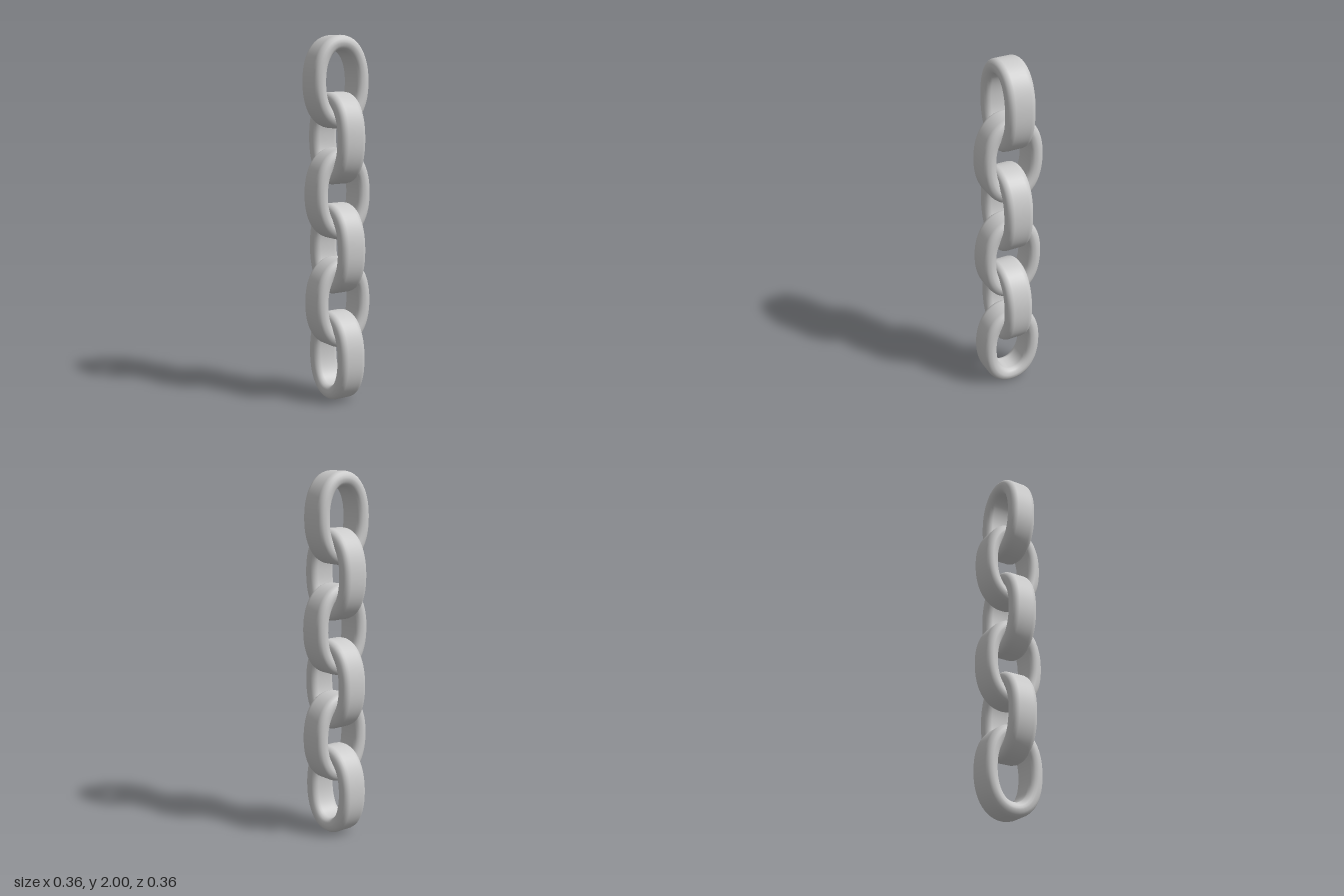
import * as THREE from 'three';
import { mergeVertices } from 'three/addons/utils/BufferGeometryUtils.js';

const HALF_W = 0.1375, HALF_H = 0.2085;   // semi-axes of the link's centreline
const BAR_T = 0.04, BAR_D = 0.08;         // half thickness and half depth of the bar
const ROUND = 0.036;                      // corner radius of the bar
const AROUND = 64, CORNER = 5;            // steps round the link, points per bar corner

// Slightly squared oval ring with a rounded rectangular bar, made by reshaping a torus
function linkGeometry() {
  const n = 2.2, sides = CORNER * 4;
  const geo = new THREE.TorusGeometry(1, 0.1, sides, AROUND);
  const pos = geo.attributes.position;
  for (let i = 0; i < pos.count; i++) {
    const j = Math.floor(i / (AROUND + 1)) % sides;
    const u = ((i % (AROUND + 1)) % AROUND) / AROUND * Math.PI * 2;

    // centreline point and its outward normal
    const c = Math.cos(u), s = Math.sin(u);
    const r = (Math.abs(c / HALF_W) ** n + Math.abs(s / HALF_H) ** n) ** (-1 / n);
    const x = r * c, y = r * s;
    const nx = Math.sign(c) * Math.abs(x / HALF_W) ** (n - 1) / HALF_W;
    const ny = Math.sign(s) * Math.abs(y / HALF_H) ** (n - 1) / HALF_H;
    const len = Math.hypot(nx, ny);

    // rounded rectangle section: one quarter arc per corner
    const q = Math.floor(j / CORNER);
    const a = (q + (j % CORNER) / (CORNER - 1)) * Math.PI / 2;
    const out = (q === 0 || q === 3 ? 1 : -1) * (BAR_T - ROUND) + ROUND * Math.cos(a);
    const z = (q < 2 ? 1 : -1) * (BAR_D - ROUND) + ROUND * Math.sin(a);

    pos.setXYZ(i, x + nx / len * out, y + ny / len * out, z);
  }
  // close the seams so that the shading is smooth all round
  geo.deleteAttribute('normal');
  geo.deleteAttribute('uv');
  const merged = mergeVertices(geo, 1e-5);
  merged.computeVertexNormals();
  return merged;
}

export function createModel() {
  const chain = new THREE.Group();
  chain.name = 'chain';
  const material = new THREE.MeshStandardMaterial({ color: 0xcccccc });
  const geo = linkGeometry();

  // Links hang from the top, each a quarter turn from the last and slightly off axis
  const offsets = [[-0.005, 0], [0.002, 0], [0, 0.008], [0.002, 0.004], [0.002, 0.008], [0, 0.004]];
  offsets.forEach(([x, z], i) => {
    const link = new THREE.Mesh(geo, material);
    link.name = 'link' + (i + 1);
    link.position.set(x, 1.7515 - i * 0.3006, z);
    if (i % 2) link.rotation.y = Math.PI / 2;
    chain.add(link);
  });
  return chain;
}
